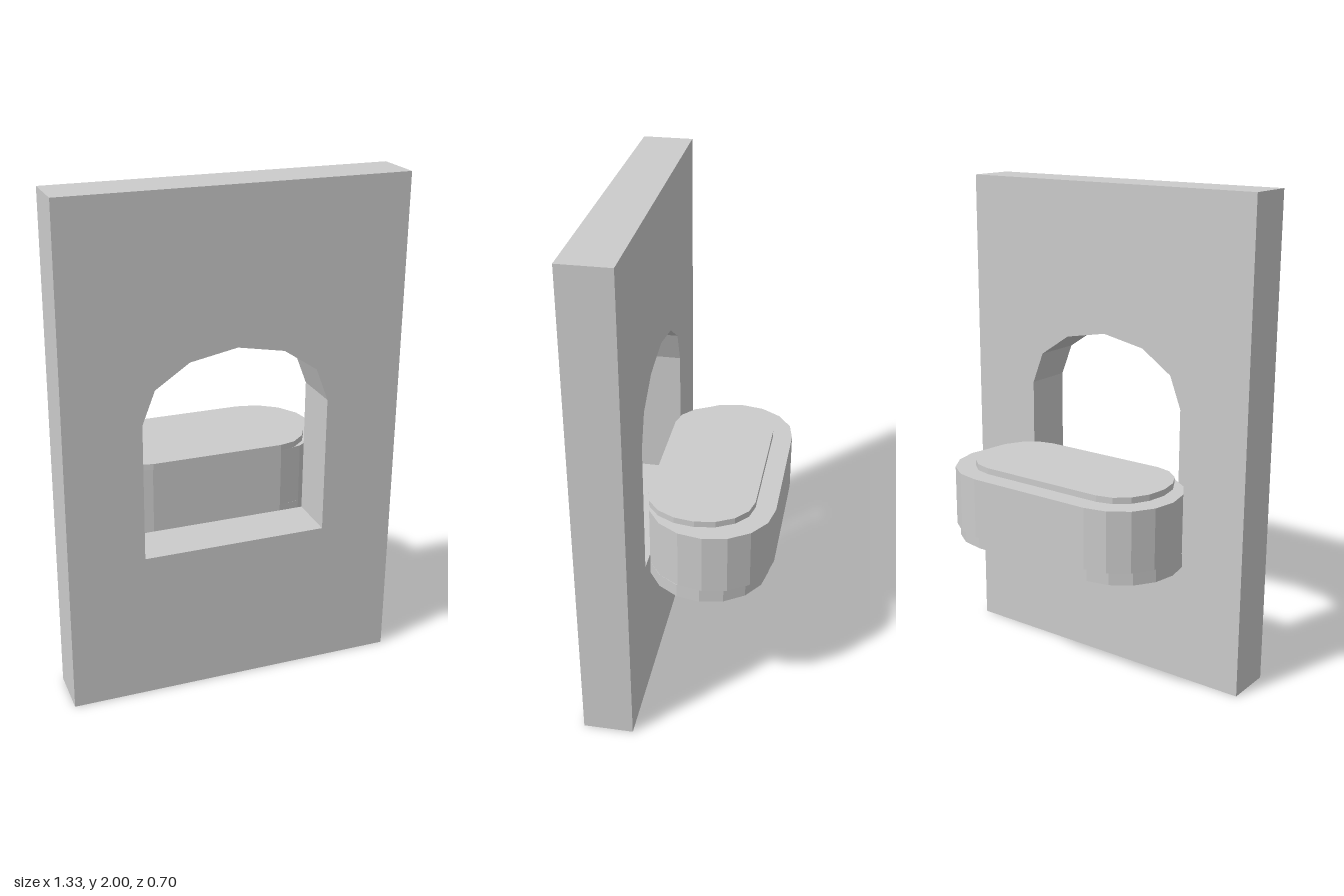
import * as THREE from 'three';

const material = new THREE.MeshStandardMaterial({ color: 0xcccccc, flatShading: true });

// Rounded slab lying flat: straight middle with faceted elliptical ends
function roundedSlab(name, { straight, rx, rz, z, y0, y1 }) {
  const points = [];
  for (const side of [1, -1]) {
    for (let i = 0; i <= 8; i++) {
      const a = -Math.PI / 2 + (i * Math.PI) / 8;
      points.push(new THREE.Vector2(side * (straight + rx * Math.cos(a)), side * rz * Math.sin(a)));
    }
  }
  const geometry = new THREE.ExtrudeGeometry(new THREE.Shape(points), { depth: y1 - y0, bevelEnabled: false });
  geometry.rotateX(-Math.PI / 2);
  geometry.translate(0, y0, z);
  const mesh = new THREE.Mesh(geometry, material);
  mesh.name = name;
  return mesh;
}

export function createModel() {
  const group = new THREE.Group();
  group.name = 'wallWindowWithLedge';

  // Upright panel with an arched opening
  const outline = new THREE.Shape([
    new THREE.Vector2(-0.667, 0), new THREE.Vector2(0.667, 0),
    new THREE.Vector2(0.667, 2), new THREE.Vector2(-0.667, 2),
  ]);
  const half = [[0.368, 0.6], [0.368, 1.15], [0.318, 1.28], [0.185, 1.37]];
  const arch = [
    ...half,
    [0, 1.405],
    ...half.map(([x, y]) => [-x, y]).reverse(),
  ].map(([x, y]) => new THREE.Vector2(x, y));
  outline.holes.push(new THREE.Path(arch));
  const panelGeometry = new THREE.ExtrudeGeometry(outline, { depth: 0.2, bevelEnabled: false });
  panelGeometry.translate(0, 0, 0.148);
  const panel = new THREE.Mesh(panelGeometry, material);
  panel.name = 'archedPanel';
  group.add(panel);

  // Ledge behind the opening: base, body and raised top
  group.add(
    roundedSlab('ledgeBase', { straight: 0.27, rx: 0.233, rz: 0.239, z: -0.091, y0: 0.57, y1: 0.625 }),
    roundedSlab('ledgeBody', { straight: 0.27, rx: 0.235, rz: 0.249, z: -0.101, y0: 0.625, y1: 0.87 }),
    roundedSlab('ledgeTop', { straight: 0.268, rx: 0.168, rz: 0.21, z: -0.06, y0: 0.87, y1: 0.895 }),
  );
  return group;
}
